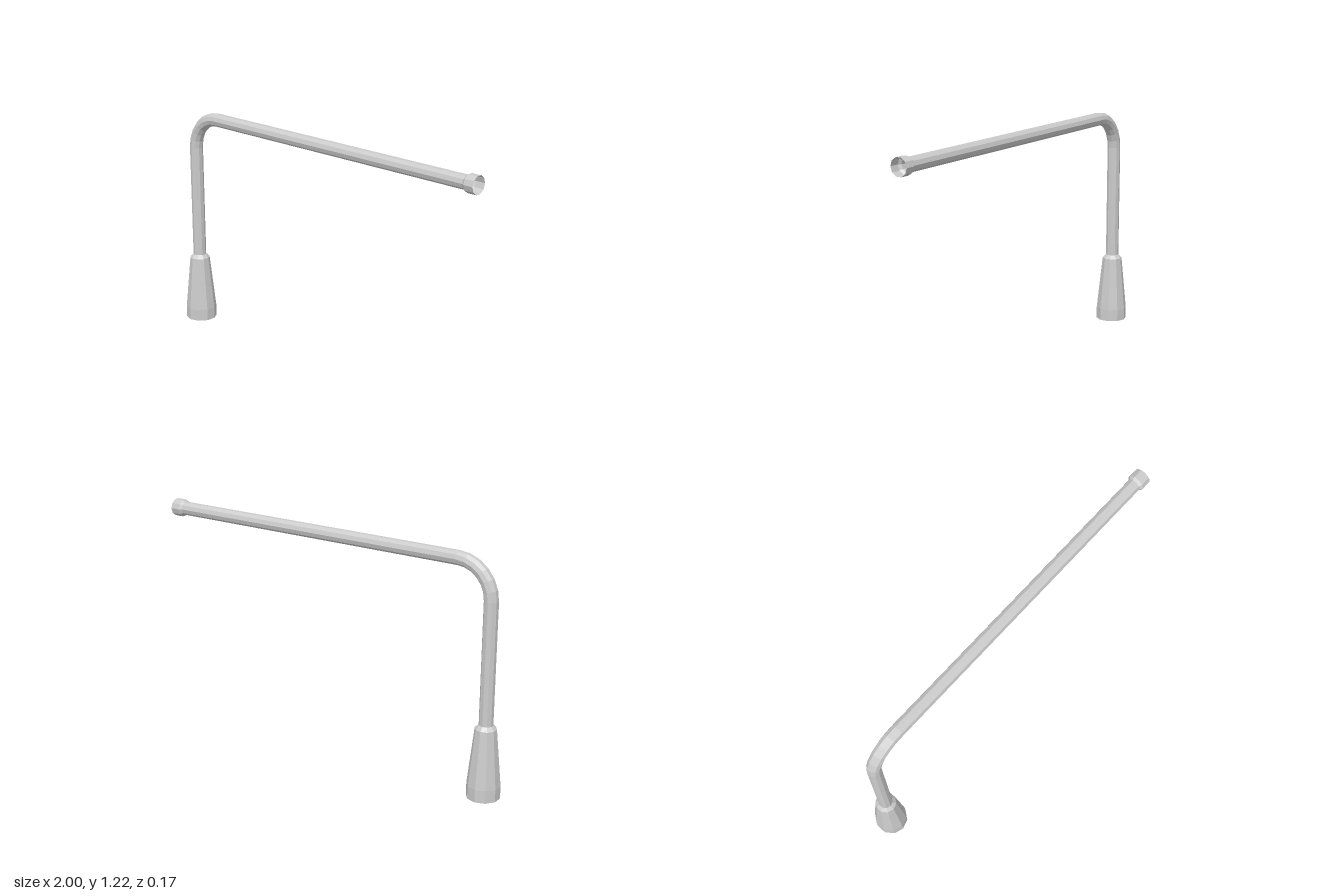
import * as THREE from 'three';

const SIDES = 10;
const material = new THREE.MeshStandardMaterial({ color: 0xcccccc, flatShading: true, side: THREE.DoubleSide });

// Skin through rings [x, y, heading, radius]; heading 0 points up, PI/2 points to +x
function sweep(name, rings) {
  const pos = [], index = [];
  rings.forEach(([x, y, a, r], i) => {
    for (let j = 0; j < SIDES; j++) {
      const t = (j / SIDES) * Math.PI * 2;
      const s = r * Math.sin(t);
      pos.push(x + s * Math.cos(a), y - s * Math.sin(a), r * Math.cos(t));
      if (i === 0) continue;
      const k = (j + 1) % SIDES, p = (i - 1) * SIDES, q = i * SIDES;
      index.push(p + j, p + k, q + k, p + j, q + k, q + j);
    }
  });
  const geo = new THREE.BufferGeometry();
  geo.setAttribute('position', new THREE.Float32BufferAttribute(pos, 3));
  geo.setIndex(index);
  geo.computeVertexNormals();
  const mesh = new THREE.Mesh(geo, material);
  mesh.name = name;
  return mesh;
}

export function createModel() {
  const group = new THREE.Group();
  group.name = 'bentPipeArm';
  const poleX = -0.92, armY = 1.174, bend = 0.18, r = 0.0355, right = Math.PI / 2;

  // Tapered hollow base sleeve
  const sleeve = [[0, 0.084], [0.065, 0.084], [0.358, 0.054], [0.377, r]];
  group.add(sweep('baseSleeve', sleeve.map(([y, rad]) => [poleX, y, 0, rad])));

  // Upright, elbow and long horizontal arm in one pipe
  const path = [[poleX, 0.377, 0, r]];
  const steps = 6;
  for (let i = 0; i <= steps; i++) {
    const a = (i / steps) * right;
    path.push([poleX + bend * (1 - Math.cos(a)), armY - bend + bend * Math.sin(a), a, r]);
  }
  path.push([0.935, armY, right, r]);
  group.add(sweep('pipe', path));

  // Open flared collar at the tip
  const collar = [[0.935, r], [0.948, 0.046], [1, 0.046]];
  group.add(sweep('endCollar', collar.map(([x, rad]) => [x, armY, right, rad])));

  return group;
}
